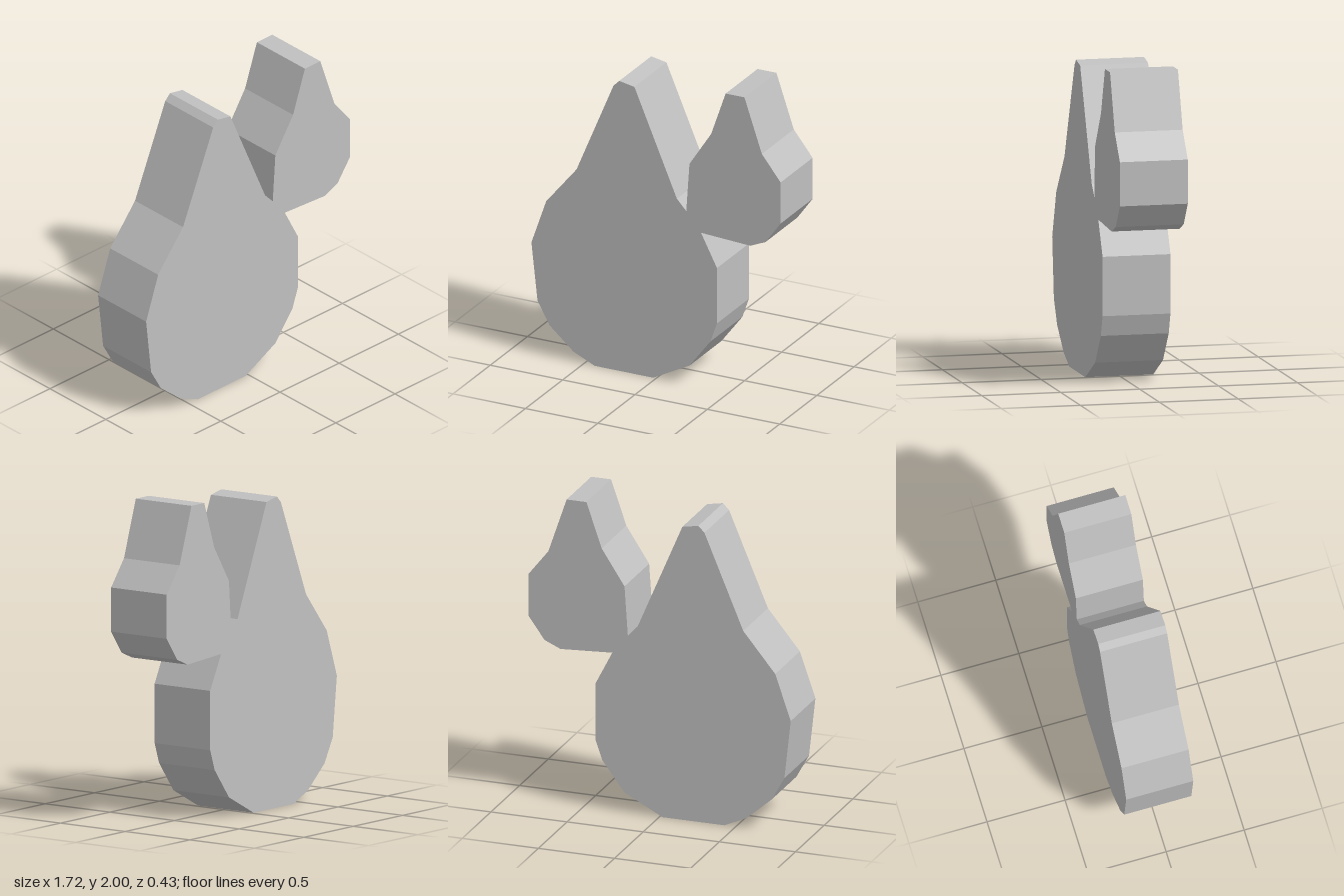
import * as THREE from 'three';

const DEPTH = 0.43;

// Large drop, counter-clockwise from the lower notch round to the upper notch, is split
// in two runs so that the small drop can be inserted between them.
const largeDropLowerRight = [
  [-0.425, 0], [-0.02, 0], [0.23, 0.13], [0.375, 0.32], [0.42, 0.45], [0.42, 0.82], [0.31, 1.035],
];
const smallDrop = [
  [0.65, 1.015], [0.755, 1.06], [0.86, 1.205], [0.86, 1.48], [0.73, 1.645],
  [0.61, 2], [0.48, 2], [0.38, 1.71], [0.23, 1.48],
];
const largeDropTipAndLeft = [
  [0.208, 1.16], [0.143, 1.23], [-0.15, 1.92], [-0.255, 1.94], [-0.295, 1.9], [-0.55, 1.29],
  [-0.76, 1.035], [-0.862, 0.74], [-0.82, 0.36], [-0.737, 0.21], [-0.57, 0.065],
];

export function createModel() {
  const model = new THREE.Group();
  model.name = 'twinDrops';

  const dropGrey = new THREE.MeshStandardMaterial({ color: 0xc0c0c0 });
  dropGrey.name = 'dropGrey';

  // Both drops merge into one flat slab with faceted sides
  const outline = [...largeDropLowerRight, ...smallDrop, ...largeDropTipAndLeft];
  const shape = new THREE.Shape(outline.map(([x, y]) => new THREE.Vector2(x, y)));
  const geometry = new THREE.ExtrudeGeometry(shape, { depth: DEPTH, bevelEnabled: false });
  geometry.translate(0, 0, -DEPTH / 2);

  const drops = new THREE.Mesh(geometry, dropGrey);
  drops.name = 'joinedDrops';
  model.add(drops);
  return model;
}
